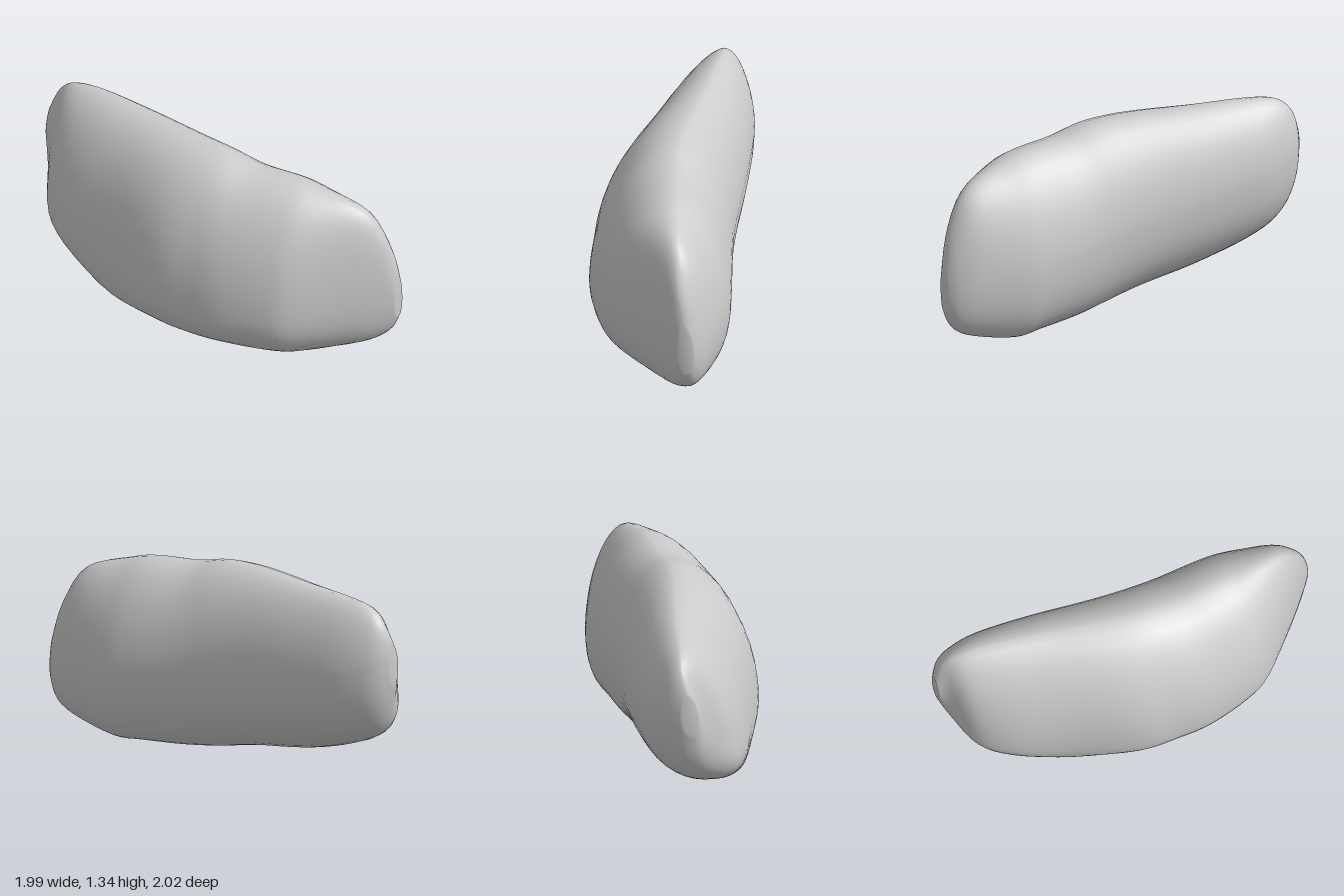
import * as THREE from 'three';

// Cross-sections along the boulder's long diagonal:
// [s, front n, front y, back n, back y, crest n, crest y, base n, base y]
const stations = [
  [-1.30, 0.0, 0.92, 0.11, 0.97, 0.07, 1.08, 0.04, 0.80],
  [-1.24, -0.08, 0.72, 0.19, 0.96, 0.09, 1.22, 0.0, 0.58],
  [-1.13, -0.28, 0.53, 0.25, 0.92, 0.07, 1.31, -0.12, 0.38],
  [-0.92, -0.42, 0.47, 0.295, 0.85, 0.04, 1.34, -0.25, 0.25],
  [-0.55, -0.55, 0.42, 0.285, 0.78, -0.03, 1.34, -0.40, 0.11],
  [-0.15, -0.69, 0.40, 0.25, 0.70, -0.12, 1.34, -0.34, 0.06],
  [0.13, -0.71, 0.38, 0.235, 0.65, -0.16, 1.325, -0.25, 0.02],
  [0.36, -0.71, 0.38, 0.24, 0.60, -0.16, 1.275, -0.15, 0.01],
  [0.65, -0.65, 0.40, 0.255, 0.55, -0.14, 1.26, -0.10, 0.0],
  [0.84, -0.56, 0.42, 0.25, 0.50, -0.13, 1.22, -0.03, 0.01],
  [1.13, -0.29, 0.48, 0.175, 0.46, -0.08, 1.12, -0.03, 0.08],
  [1.28, -0.13, 0.52, 0.11, 0.43, -0.05, 0.88, 0.0, 0.17],
  [1.345, -0.05, 0.50, 0.05, 0.42, 0.0, 0.62, 0.0, 0.30],
];

// Smooth interpolation of a whole station row
function sampleStation(t) {
  const last = stations.length - 1;
  const i = Math.min(Math.floor(t), last - 1), f = t - i;
  const row = (k) => stations[Math.max(0, Math.min(last, k))];
  return stations[i].map((_, c) => {
    const a = row(i - 1)[c], b = row(i)[c], d = row(i + 1)[c], e = row(i + 2)[c];
    return b + 0.5 * f * (d - a + f * (2 * a - 5 * b + 4 * d - e + f * (3 * (b - d) + e - a)));
  });
}

// Point on a lopsided oval made of four quarter curves;
// the upper quarters are straighter, so the crest stays narrow
function sectionPoint([s, fn, fy, bn, by, tn, ty, un, uy], angle) {
  const c = Math.cos(angle), v = Math.sin(angle);
  const sideN = c > 0 ? bn : fn, sideY = c > 0 ? by : fy;
  const endN = v > 0 ? tn : un, endY = v > 0 ? ty : uy;
  const upper = c > 0 ? 1.14 : 1.06 + 0.16 * THREE.MathUtils.smoothstep(-s, 0.3, 1.1);
  const power = v > 0 ? upper : 0.88;
  const n = endN + (sideN - endN) * Math.abs(c) ** power;
  const y = sideY + (endY - sideY) * Math.abs(v) ** power;
  return [(s + n) * Math.SQRT1_2, y, (s - n) * Math.SQRT1_2];
}

function boulderGeometry(perSpan = 4, around = 44) {
  const rings = (stations.length - 1) * perSpan;
  const pos = [], index = [];
  for (let i = 0; i <= rings; i++) {
    const st = sampleStation(i / perSpan);
    for (let j = 0; j < around; j++) pos.push(...sectionPoint(st, (j / around) * Math.PI * 2));
  }
  for (let i = 0; i < rings; i++) {
    for (let j = 0; j < around; j++) {
      const k = (j + 1) % around;
      const a = i * around + j, b = i * around + k;
      index.push(a, b, a + around, b, b + around, a + around);
    }
  }
  // close both ends with a fan
  for (const ring of [0, rings]) {
    const start = ring * around, centre = pos.length / 3, mid = [0, 0, 0];
    for (let j = 0; j < around; j++)
      for (let k = 0; k < 3; k++) mid[k] += pos[(start + j) * 3 + k] / around;
    pos.push(...mid);
    for (let j = 0; j < around; j++) {
      const a = start + j, b = start + ((j + 1) % around);
      if (ring === 0) index.push(centre, b, a);
      else index.push(centre, a, b);
    }
  }
  const geo = new THREE.BufferGeometry();
  geo.setAttribute('position', new THREE.Float32BufferAttribute(pos, 3));
  geo.setIndex(index);
  geo.computeVertexNormals();
  return geo;
}

export function createModel() {
  const group = new THREE.Group();
  group.name = 'rock';
  const boulder = new THREE.Mesh(boulderGeometry(), new THREE.MeshStandardMaterial({ color: 0xcccccc }));
  boulder.name = 'boulder';
  group.add(boulder);
  return group;
}
